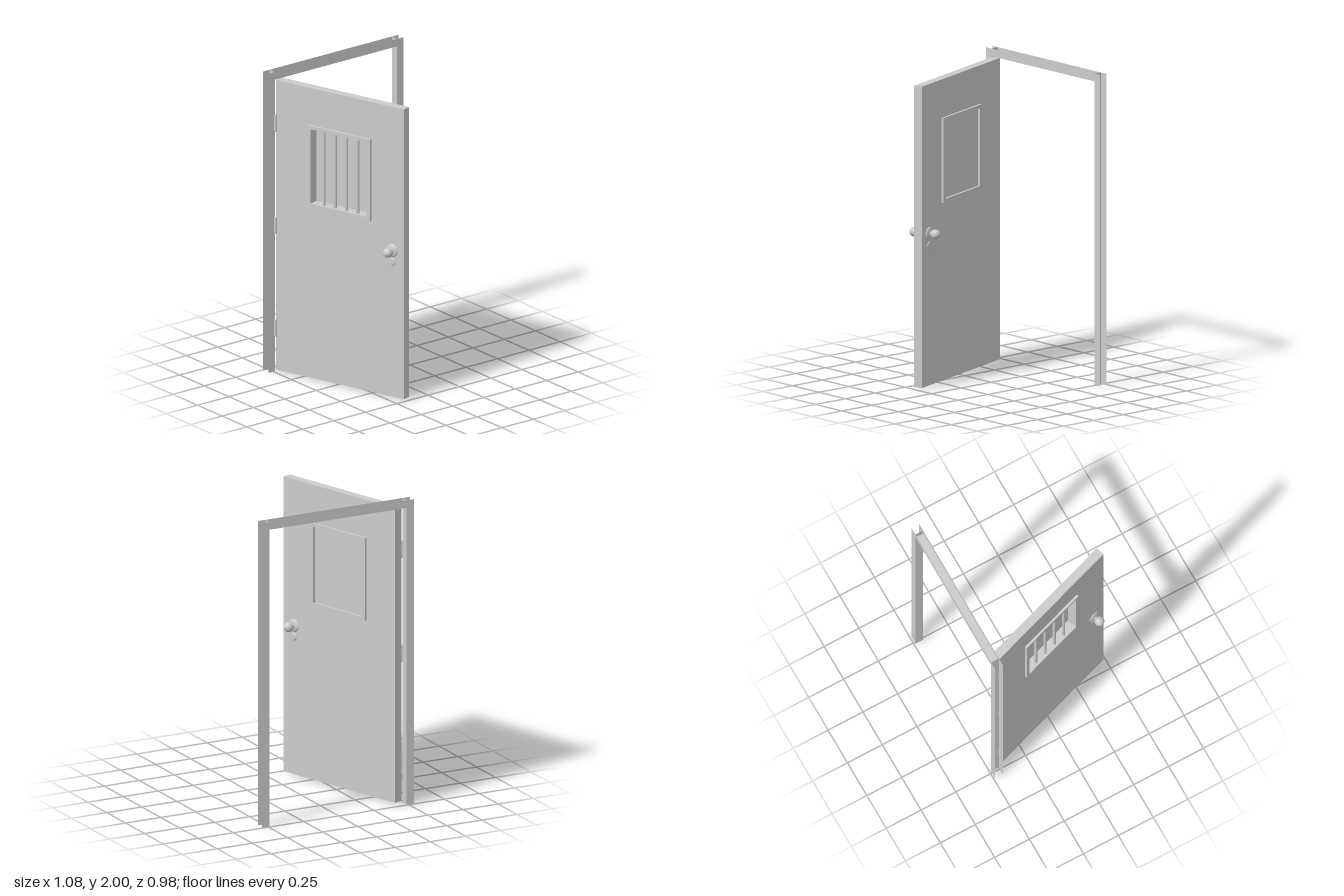
import * as THREE from 'three';

const solid = new THREE.MeshStandardMaterial({ color: 0xcccccc });
const thin = new THREE.MeshStandardMaterial({ color: 0xcccccc, side: THREE.DoubleSide });

function add(parent, name, geometry, x = 0, y = 0, z = 0, material = solid) {
  const mesh = new THREE.Mesh(geometry, material);
  mesh.name = name;
  mesh.position.set(x, y, z);
  parent.add(mesh);
  return mesh;
}

function rectPoints(x0, y0, x1, y1) {
  return [[x0, y0], [x1, y0], [x1, y1], [x0, y1]].map(([x, y]) => new THREE.Vector2(x, y));
}

// Rectangular slab with a rectangular hole
function holedSlab(outer, inner, depth) {
  const shape = new THREE.Shape(rectPoints(...outer));
  shape.holes.push(new THREE.Path(rectPoints(...inner)));
  return new THREE.ExtrudeGeometry(shape, { depth, bevelEnabled: false });
}

// Door frame: a folded sheet channel, open towards the wall
function createFrame() {
  const frame = new THREE.Group();
  frame.name = 'doorFrame';
  const W = 0.54, w = 0.488, H = 2, h = 1.95, front = -0.435, back = -0.49;
  const mid = (front + back) / 2, depth = front - back;

  const outline = new THREE.Shape([
    [-W, 0], [-w, 0], [-w, h], [w, h], [w, 0], [W, 0], [W, H], [-W, H],
  ].map(([x, y]) => new THREE.Vector2(x, y)));
  add(frame, 'frontCasing', new THREE.ShapeGeometry(outline), 0, 0, front, thin);
  add(frame, 'backCasing', new THREE.ShapeGeometry(outline).rotateY(Math.PI), 0, 0, back, thin);

  for (const side of [-1, 1]) {
    const jamb = new THREE.PlaneGeometry(depth, H).rotateY(-side * Math.PI / 2);
    add(frame, side < 0 ? 'rightJamb' : 'leftJamb', jamb, side * w, H / 2, mid, thin);
  }
  add(frame, 'headJamb', new THREE.PlaneGeometry(2 * w, depth).rotateX(Math.PI / 2), 0, h, mid, thin);
  return frame;
}

// Knob with rosette and neck, turned around the z axis, pointing to +z
function knobGeometry() {
  const points = [[0.042, 0], [0.041, 0.004], [0.034, 0.009], [0.02, 0.012], [0.013, 0.014], [0.012, 0.02]]
    .map(([r, y]) => new THREE.Vector2(r, y));
  const R = 0.032, centre = 0.048;
  for (let i = 0; i <= 14; i++) {
    const a = -1.18 + (i / 14) * (Math.PI / 2 + 1.18);
    points.push(new THREE.Vector2(Math.max(0, R * Math.cos(a)), centre + R * Math.sin(a)));
  }
  return new THREE.LatheGeometry(points, 32).rotateX(Math.PI / 2);
}

// Door leaf: x runs from the hinge to the knob, its front is at z = 0
function createDoor() {
  const door = new THREE.Group();
  door.name = 'door';
  const width = 0.968, bottom = 0.01, top = 1.947, T = 0.058;
  const outer = [0.246, 1.155, 0.722, 1.7];
  const inner = [0.271, 1.178, 0.697, 1.677];
  const midY = (inner[1] + inner[3]) / 2, openH = inner[3] - inner[1];
  const openW = inner[2] - inner[0], midX = (inner[0] + inner[2]) / 2;

  add(door, 'doorLeaf', holedSlab([0, bottom, width, top], inner, T), 0, 0, -T);

  // Window mouldings on both sides
  const lip = 0.015;
  add(door, 'frontWindowTrim', holedSlab(outer, inner, lip), 0, 0, 0);
  add(door, 'backWindowTrim', holedSlab(outer, inner, lip), 0, 0, -T - lip);

  // Closed panel behind the upright bars
  add(door, 'windowPanel', new THREE.BoxGeometry(openW, openH, 0.006), midX, midY, -T + 0.003);
  for (let i = 1; i <= 4; i++) {
    add(door, 'windowBar', new THREE.CylinderGeometry(0.01, 0.01, openH, 16),
      inner[0] + openW * i / 5, midY, -0.011);
  }

  // Knobs and keyhole plates, one set for each face
  for (const side of [1, -1]) {
    const set = new THREE.Group();
    set.name = side > 0 ? 'frontKnobSet' : 'backKnobSet';
    set.position.set(0.879, 0, side > 0 ? 0 : -T);
    set.rotation.y = side > 0 ? 0 : Math.PI;
    add(set, 'knob', knobGeometry(), 0, 0.987, 0);
    add(set, 'keyholePlate', new THREE.CylinderGeometry(0.02, 0.024, 0.005, 28).rotateX(Math.PI / 2),
      0, 0.912, 0.0025);
    door.add(set);
  }
  return door;
}

export function createModel() {
  const model = new THREE.Group();
  model.name = 'openDoor';
  model.add(createFrame());

  // Leaf swung open by 72 degrees
  const door = createDoor();
  door.position.set(-0.481, 0, -0.434);
  door.rotation.y = -THREE.MathUtils.degToRad(72);
  model.add(door);

  // Hinge barrels
  for (const y of [0.293, 0.978, 1.663]) {
    add(model, 'hinge', new THREE.CapsuleGeometry(0.009, 0.1, 6, 16), -0.489, y, -0.427);
  }
  return model;
}
